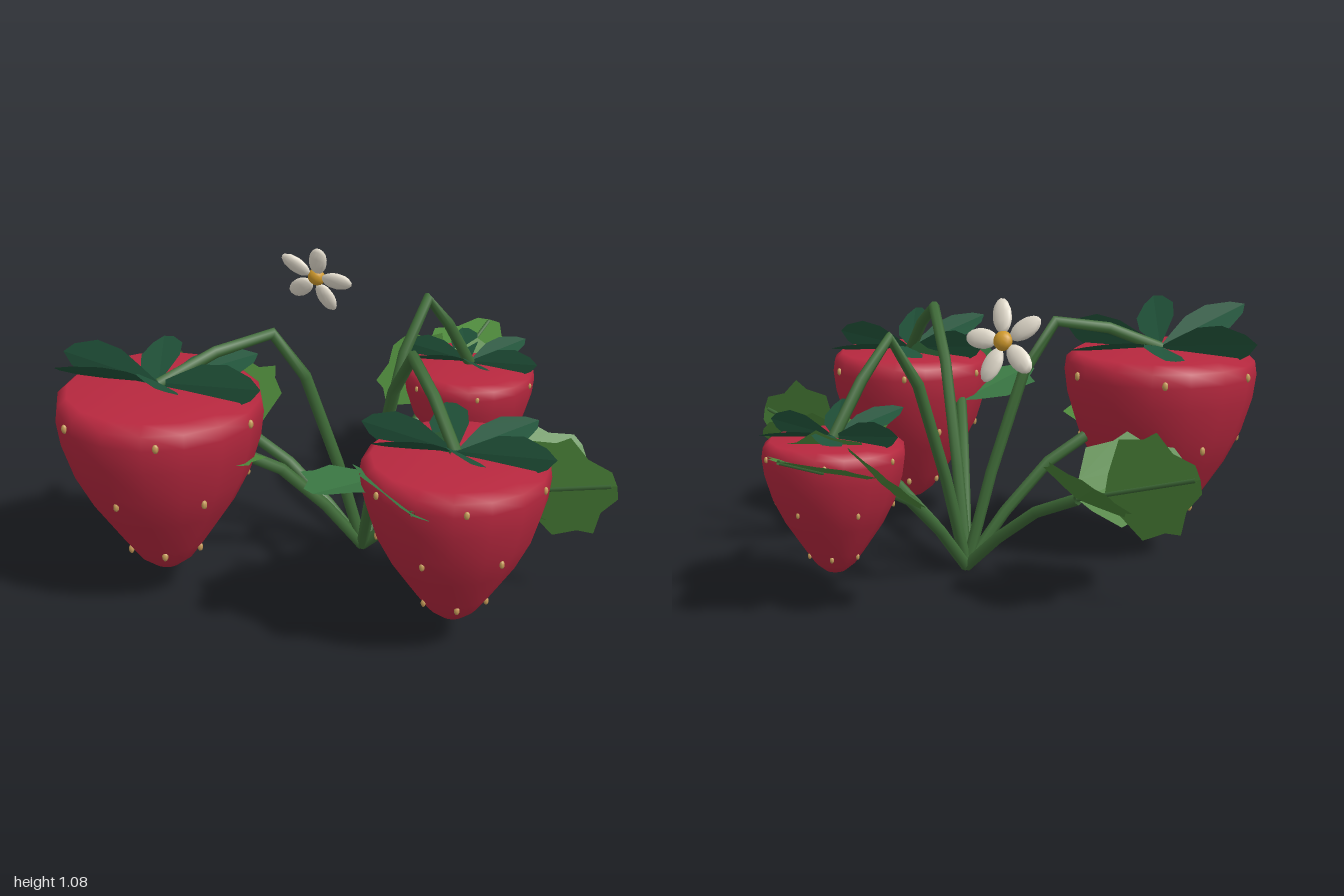
import * as THREE from 'three';

const V = (x, y, z) => new THREE.Vector3(x, y, z);
const mat = (color, flatShading = false) =>
  new THREE.MeshStandardMaterial({ color, flatShading, side: THREE.DoubleSide });
const MAT = {
  berry: mat(0xb8283f), seed: mat(0xc49a58), stem: mat(0x3f6b38), leaf: mat(0x4f8a3c, true),
  darkLeaf: mat(0x3a7743, true), calyx: mat(0x21533a, true), petal: mat(0xe6dfd0), pollen: mat(0xd09a2c),
};

function add(parent, name, geometry, material) {
  const mesh = new THREE.Mesh(geometry, material);
  mesh.name = name;
  parent.add(mesh);
  return mesh;
}

// Tube whose rings sit exactly on the given points, keeping the bends angular
function tube(points, radius) {
  const curve = new THREE.CatmullRomCurve3(points);
  curve.getPointAt = curve.getPoint;
  curve.getTangentAt = curve.getTangent;
  return new THREE.TubeGeometry(curve, points.length - 1, radius, 7);
}

// Two half blades mirrored over the midrib; the edges are lifted by `fold`
function bladeGeometry(half, fold) {
  const pts = [[0, 0], ...half, [half[half.length - 1][0] + 0.01, 0]];
  const pos = [];
  for (const side of [1, -1]) {
    const shape = new THREE.Shape(pts.map(([u, v]) => new THREE.Vector2(u, v * side)));
    const p = new THREE.ShapeGeometry(shape).toNonIndexed().getAttribute('position');
    for (let i = 0; i < p.count; i++) pos.push(p.getX(i), p.getY(i), Math.abs(p.getY(i)) * fold);
  }
  const g = new THREE.BufferGeometry();
  g.setAttribute('position', new THREE.Float32BufferAttribute(pos, 3));
  g.computeVertexNormals();
  return g;
}
const leafBlade = bladeGeometry(
  [[0.03, 0.07], [0.1, 0.18], [0.2, 0.165], [0.26, 0.18], [0.31, 0.1], [0.39, 0.05]], 0.1);
const sepalBlade = bladeGeometry(
  [[0.08, 0.035], [0.17, 0.072], [0.27, 0.078], [0.36, 0.04], [0.39, 0.01]], 0.08);

// Point a blade along a heading (radians from +x towards +z) with a rise.
// Blades lie flat along z and turn on edge as they swing towards x.
function placeBlade(mesh, origin, heading, rise) {
  const c = Math.cos(heading), s = Math.sin(heading);
  const dir = V(c, rise, s).normalize();
  const roll = -Math.PI / 2 * c * Math.abs(c) * (s < 0 ? -1 : 1);
  const across = V(s, 0, -c).applyAxisAngle(dir, roll);
  mesh.quaternion.setFromRotationMatrix(
    new THREE.Matrix4().makeBasis(dir, across, dir.clone().cross(across)));
  mesh.position.copy(origin);
}

// Fruit for a radius of 0.36, tip at y = 0, flat top at 0.7
const profile = [[0, 0], [0.05, 0.01], [0.1, 0.05], [0.15, 0.12], [0.25, 0.27], [0.31, 0.39],
  [0.35, 0.52], [0.362, 0.61], [0.355, 0.66], [0.32, 0.69], [0.1, 0.695], [0, 0.695]];
const seedRows = [[0.1, 0.14, 0.5], [0.36, 0.297, 0], [0.62, 0.36, 0.5]];

function makeBerry(x, z, scale, tilt) {
  const berry = new THREE.Group();
  berry.name = 'strawberry';
  add(berry, 'fruit', new THREE.LatheGeometry(
    profile.map(([r, y]) => new THREE.Vector2(r, y)), 16), MAT.berry);

  // Staggered rows of seeds
  const seedGeometry = new THREE.SphereGeometry(0.014, 6, 5);
  for (const [y, r, shift] of seedRows) {
    for (let i = 0; i < 6; i++) {
      const a = (i + shift) * Math.PI / 3;
      const seed = add(berry, 'seed', seedGeometry, MAT.seed);
      seed.position.set(Math.sin(a) * r, y, Math.cos(a) * r);
      seed.rotation.y = a;
      seed.scale.set(0.8, 1.2, 0.7);
    }
  }

  // Six sepals, raised a little at the front
  const calyx = new THREE.Group();
  calyx.name = 'calyx';
  for (let i = 0; i < 6; i++) {
    const sepal = add(calyx, 'sepal', sepalBlade, MAT.calyx);
    placeBlade(sepal, V(0, 0, 0), i * Math.PI / 3, i % 3 === 0 ? 0.11 : 0.2);
  }
  calyx.position.y = 0.705;
  calyx.rotation.x = -tilt;
  berry.add(calyx);
  berry.scale.setScalar(scale);
  berry.position.set(x, 0.1, z);
  return berry;
}

// Petiole with three leaflets on the end
function makeLeaf(angle, baseY, rise, sideRise, material) {
  const leaf = new THREE.Group();
  leaf.name = 'leaf';
  const at = (r, y) => V(Math.cos(angle) * r, y, Math.sin(angle) * r);
  const base = at(0.5, baseY);
  add(leaf, 'leafStem', tube([at(0, 0.01), at(0.15, baseY * 0.42), at(0.32, baseY * 0.78), base], 0.022), MAT.stem);
  add(leaf, 'midrib', tube([base, at(0.72, baseY + rise * 0.22), at(0.98, baseY + rise * 0.48)], 0.008), MAT.stem);
  const middle = add(leaf, 'middleLeaflet', leafBlade, material);
  placeBlade(middle, at(0.615, baseY + rise * 0.115), angle, rise);
  for (const s of [1, -1]) {
    const leaflet = add(leaf, 'sideLeaflet', leafBlade, material);
    placeBlade(leaflet, base, angle + s * 0.82, sideRise);
    leaflet.scale.set(1, 0.92, 1);
  }
  return leaf;
}

function makeFlower() {
  const flower = new THREE.Group();
  flower.name = 'flower';
  add(flower, 'flowerCentre', new THREE.SphereGeometry(0.035, 10, 8), MAT.pollen).scale.z = 0.8;
  const petalGeometry = new THREE.SphereGeometry(1, 10, 8);
  for (let i = 0; i < 5; i++) {
    const a = i * Math.PI * 0.4 + 0.02;
    const petal = add(flower, 'petal', petalGeometry, MAT.petal);
    petal.position.set(Math.cos(a) * 0.09, Math.sin(a) * 0.09, 0.008);
    petal.rotation.z = a;
    petal.scale.set(0.064, 0.036, 0.018);
  }
  flower.position.set(-0.335, 0.935, -0.29);
  flower.rotation.x = 0.35;
  return flower;
}

export function createModel() {
  const plant = new THREE.Group();
  plant.name = 'strawberryPlant';

  // Fruits on arching stalks: x, z, scale, calyx tilt, peak height, peak fraction
  const fruits = [
    [-0.49, 0.585, 1, 0.18, 0.92, 0.45],
    [0.575, 0.47, 0.875, 0.15, 0.93, 0.56],
    [0.19, -0.555, 0.695, 0.1, 0.91, 0.59],
  ];
  for (const [x, z, scale, tilt, peak, f] of fruits) {
    plant.add(makeBerry(x, z, scale, tilt));
    const top = 0.1 + 0.7 * scale;
    const at = (t, y) => V(x * t, y, z * t);
    add(plant, 'fruitStalk', tube([
      at(0, 0.01), at(f * 0.28, peak * 0.4), at(f * 0.64, peak * 0.8), at(f, peak),
      at((f + 1) / 2, (peak + top) / 2 + 0.025), at(1, top),
    ], 0.022), MAT.stem);
  }

  // Leaves: heading, petiole height, rise of the middle and side leaflets
  const leaves = [
    [0.05, 0.35, 0.29, 0.36, MAT.leaf],
    [0.95, 0.54, 0.2, 0.22, MAT.darkLeaf],
    [2.27, 0.5, 0.22, 0.25, MAT.leaf],
    [3.24, 0.35, 0.3, 0.36, MAT.leaf],
    [4.81, 0.42, 0.36, 0.3, MAT.leaf],
  ];
  for (const l of leaves) plant.add(makeLeaf(...l));

  plant.add(makeFlower());
  return plant;
}
